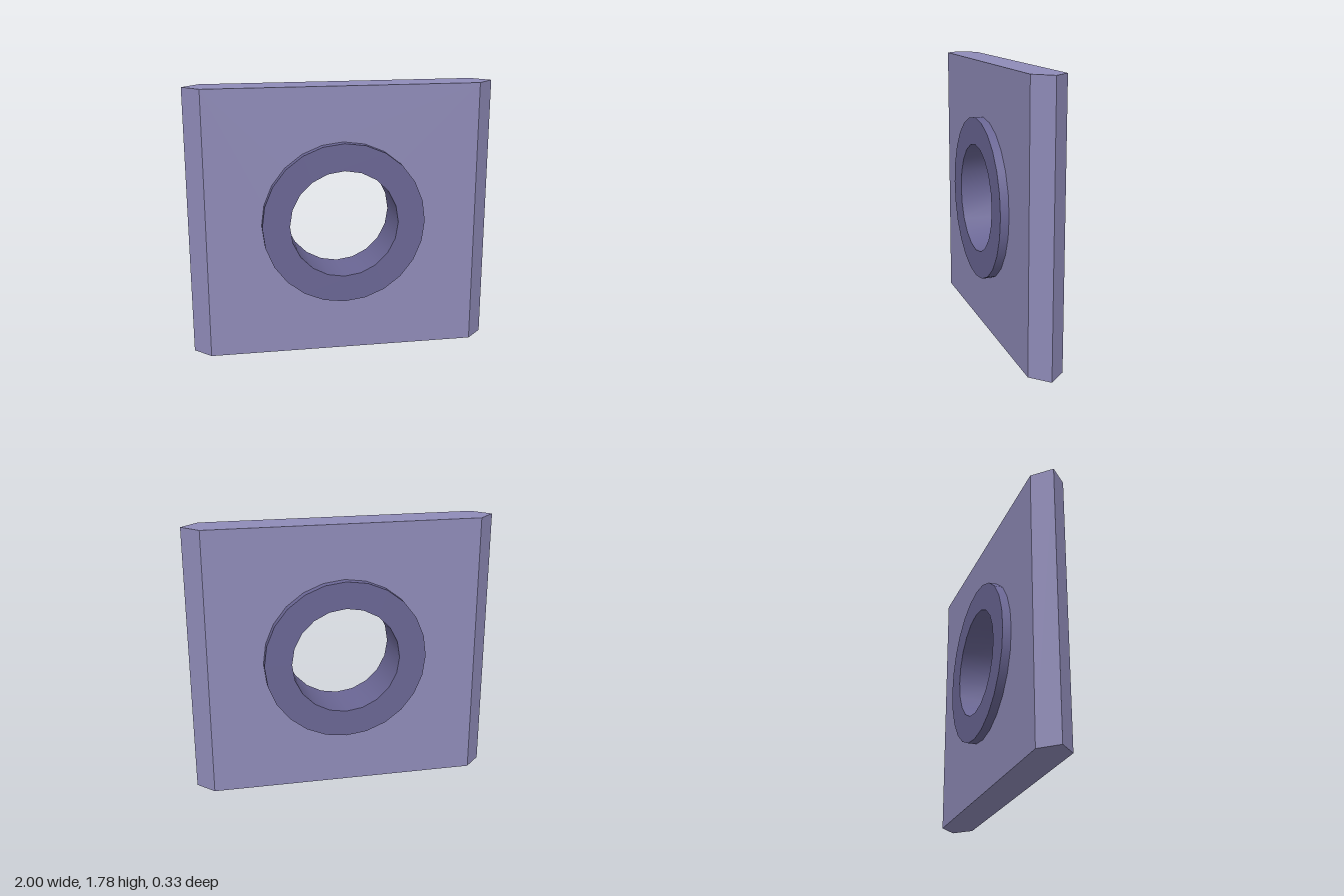
import * as THREE from 'three';
import { toCreasedNormals } from 'three/addons/utils/BufferGeometryUtils.js';

const HEIGHT = 1.78, CENTRE_Y = HEIGHT / 2;
const FACE_HALF = 0.89, EDGE_HALF = 1;
const PLATE_DEPTH = 0.22, RING_DEPTH = 0.33;
const OUTER_R = 0.534, INNER_R = 0.356;

// Regular polygon with one corner at the top
function circlePoints(radius, sides) {
  return Array.from({ length: sides }, (_, i) => {
    const a = Math.PI / 2 + (i / sides) * Math.PI * 2;
    return new THREE.Vector2(radius * Math.cos(a), radius * Math.sin(a));
  });
}

// Shape with a hole, extruded evenly about z = 0
function extrudeWithHole(outline, hole, depth, steps) {
  const shape = new THREE.Shape(outline);
  shape.holes.push(new THREE.Path(hole));
  const geometry = new THREE.ExtrudeGeometry(shape, { depth, steps, bevelEnabled: false });
  return geometry.translate(0, 0, -depth / 2);
}

// Square plate whose left and right sides come to a sharp edge
function createPlate() {
  const w = FACE_HALF, h = CENTRE_Y;
  const outline = [[-w, -h], [w, -h], [w, h], [-w, h]].map(([x, y]) => new THREE.Vector2(x, y));
  const geometry = extrudeWithHole(outline, circlePoints(OUTER_R, 24), PLATE_DEPTH, 2);
  const pos = geometry.attributes.position;
  for (let i = 0; i < pos.count; i++) {
    const x = pos.getX(i);
    if (Math.abs(pos.getZ(i)) < 0.01 && Math.abs(x) > w - 0.01) {
      pos.setX(i, Math.sign(x) * EDGE_HALF);
    }
  }
  geometry.computeVertexNormals();
  const material = new THREE.MeshStandardMaterial({ color: 0x8f8bb8, flatShading: true });
  const plate = new THREE.Mesh(geometry, material);
  plate.name = 'plate';
  return plate;
}

// Collar lining the hole and standing proud of both faces
function createRing() {
  const geometry = extrudeWithHole(circlePoints(OUTER_R, 24), circlePoints(INNER_R, 20), RING_DEPTH, 1);
  const material = new THREE.MeshStandardMaterial({ color: 0x6a6694 });
  const ring = new THREE.Mesh(toCreasedNormals(geometry, Math.PI / 6), material);
  ring.name = 'ring';
  return ring;
}

export function createModel() {
  const model = new THREE.Group();
  model.name = 'ringedPlate';
  for (const part of [createPlate(), createRing()]) {
    part.position.y = CENTRE_Y;
    model.add(part);
  }
  return model;
}
